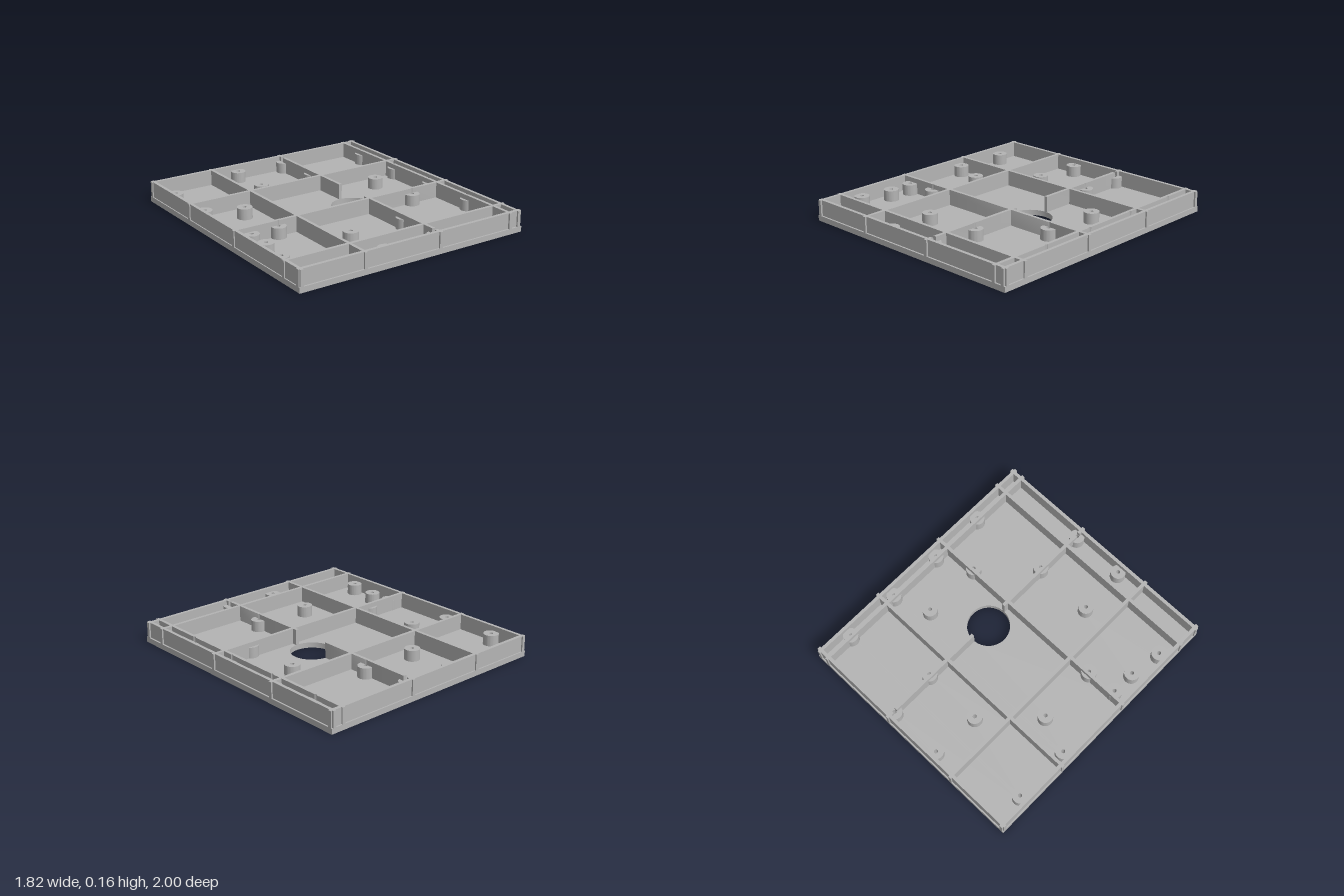
import * as THREE from 'three';
import { toCreasedNormals } from 'three/addons/utils/BufferGeometryUtils.js';

const HX = 0.912, HZ = 1, PLATE = 0.04, BOSS_TOP = 0.12, TOP = 0.155;
const BOSS_R = 0.055, BORE = 0.014;
const OPENING = { x: 0.2, z: 0, r: 0.155 };

// Screw boss centres [x, z]
const BOSSES = [
  [-0.206, -0.93], [0.2, -0.93], [-0.206, 0.928], [0.2, 0.928],
  [-0.222, -0.568], [0.222, -0.568], [-0.222, 0.567], [0.222, 0.567],
  [-0.57, -0.222], [0.567, -0.222], [-0.57, 0.222], [0.567, 0.222],
  [-0.832, -0.752], [-0.832, -0.325], [-0.832, 0.667],
  [0.83, -0.752], [0.83, -0.325], [0.83, 0.1], [0.83, 0.528],
  [-0.793, 0.242], [-0.793, 0.424],
];

export function createModel() {
  const group = new THREE.Group();
  const grey = new THREE.MeshStandardMaterial({ color: 0xb4b4b4 });
  grey.name = 'grey plastic';

  // Extrudes a plan outline (x, -z) upward from y0 to y1
  const addPlan = (name, shape, y0, y1, segments = 24) => {
    let geo = new THREE.ExtrudeGeometry(shape, {
      depth: y1 - y0, bevelEnabled: false, curveSegments: segments,
    });
    geo.rotateX(-Math.PI / 2).translate(0, y0, 0);
    geo = toCreasedNormals(geo, 0.6);
    const mesh = new THREE.Mesh(geo, grey);
    mesh.name = name;
    group.add(mesh);
  };
  const circle = (x, z, r) => new THREE.Path().absarc(x, -z, r, 0, Math.PI * 2, true);

  // Base plate with the round opening and the bores
  const plate = new THREE.Shape([
    new THREE.Vector2(-HX, -HZ), new THREE.Vector2(HX, -HZ),
    new THREE.Vector2(HX, HZ), new THREE.Vector2(-HX, HZ),
  ]);
  plate.holes.push(circle(OPENING.x, OPENING.z, OPENING.r));
  BOSSES.forEach(([x, z]) => plate.holes.push(circle(x, z, BORE)));
  addPlan('basePlate', plate, 0, PLATE, 32);

  // Hollow screw bosses
  BOSSES.forEach(([x, z]) => {
    const ring = new THREE.Shape().absarc(x, -z, BOSS_R, 0, Math.PI * 2, false);
    ring.holes.push(circle(x, z, BORE));
    addPlan('screwBoss', ring, PLATE, BOSS_TOP);
  });

  // Straight rib between n0 and n1, running from t0 to t1 along z or x;
  // bores that reach over one of its edges bite a round notch into it
  const addRib = (name, alongZ, n0, n1, t0, t1) => {
    const edge = (n, side) => {
      const pts = [[t0, n]];
      BOSSES.map(([x, z]) => (alongZ ? [z, x] : [x, z]))
        .filter(([t, c]) => t > t0 && t < t1 && Math.abs(c - n) < BORE
          && c > n0 - BORE && c < n1 + BORE && Math.abs(c - (n0 + n1) / 2) > 0.005)
        .sort((a, b) => a[0] - b[0])
        .forEach(([t, c]) => {
          const a0 = Math.acos((c - n) * side / BORE);
          for (let k = 0; k <= 8; k++) {
            const a = a0 * (1 - k / 4);
            pts.push([t - BORE * Math.sin(a), c - side * BORE * Math.cos(a)]);
          }
        });
      pts.push([t1, n]);
      return pts;
    };
    const outline = [...edge(n0, -1), ...edge(n1, 1).reverse()];
    const shape = new THREE.Shape(outline.map(([t, n]) => (
      alongZ ? new THREE.Vector2(n, -t) : new THREE.Vector2(t, -n))));
    addPlan(name, shape, PLATE, TOP);
  };

  // Side walls and ribs running front to back
  addRib('rightWall', true, -0.904, -0.88, -HZ, HZ);
  addRib('leftWall', true, 0.876, 0.9, -HZ, HZ);
  addRib('lengthRib', true, -0.421, -0.397, -HZ, HZ);
  addRib('lengthRib', true, 0.8, 0.824, -HZ, HZ);

  // Centre rib, interrupted at the opening and at the two bores on its line
  const cuts = [[-HZ, -0.93 - BORE], [-0.93 + BORE, -OPENING.r],
    [OPENING.r, 0.928 - BORE], [0.928 + BORE, HZ]];
  cuts.forEach(([a, b]) => addRib('centreRib', true, 0.189, 0.213, a, b));

  // Front and back walls and ribs running side to side
  addRib('backWall', false, -0.99, -0.965, -HX, HX);
  addRib('frontWall', false, 0.962, 0.987, -HX, HX);
  [-0.421, 0.189, 0.8].forEach((z) => addRib('crossRib', false, z, z + 0.024, -HX, HX));

  return group;
}
